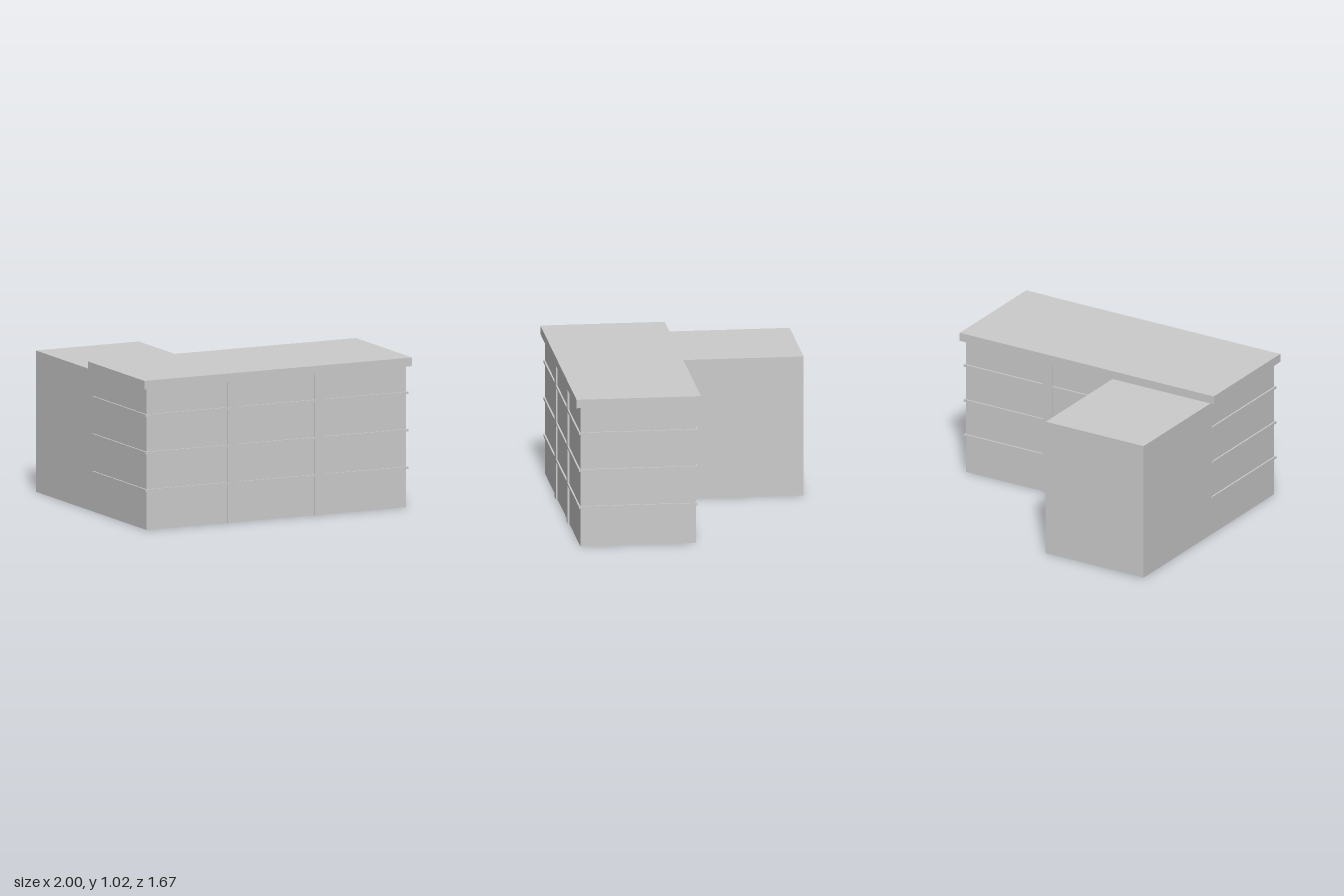
import * as THREE from 'three';

export function createModel() {
  const model = new THREE.Group();
  model.name = 'building';
  const material = new THREE.MeshStandardMaterial({ color: 0xcccccc, flatShading: true });

  // Box given by its minimum and maximum corners
  const block = (name, [x0, y0, z0], [x1, y1, z1]) => {
    const mesh = new THREE.Mesh(new THREE.BoxGeometry(x1 - x0, y1 - y0, z1 - z0), material);
    mesh.position.set((x0 + x1) / 2, (y0 + y1) / 2, (z0 + z1) / 2);
    mesh.name = name;
    model.add(mesh);
  };

  // Main block with its overhanging flat roof
  block('mainBlock', [-0.97, 0, 0.031], [0.97, 0.959, 0.807]);
  block('roofSlab', [-1, 0.959, 0], [1, 1.017, 0.836]);

  // Plain rear wing, flush with the main block's end wall
  block('rearWing', [-0.97, 0, -0.836], [-0.2, 0.957, 0.031]);

  // String courses wrapping the main block at each floor
  [0.26, 0.514, 0.768].forEach((y, i) =>
    block(`floorBand${i + 1}`, [-0.981, y, 0.02], [0.981, y + 0.016, 0.818]));

  // Vertical pilasters, front and back
  [-0.327, 0.322].forEach((x, i) => {
    block(`frontPilaster${i + 1}`, [x - 0.038, 0, 0.8], [x + 0.038, 0.959, 0.818]);
    block(`backPilaster${i + 1}`, [x - 0.038, 0, 0.02], [x + 0.038, 0.959, 0.04]);
  });

  return model;
}
